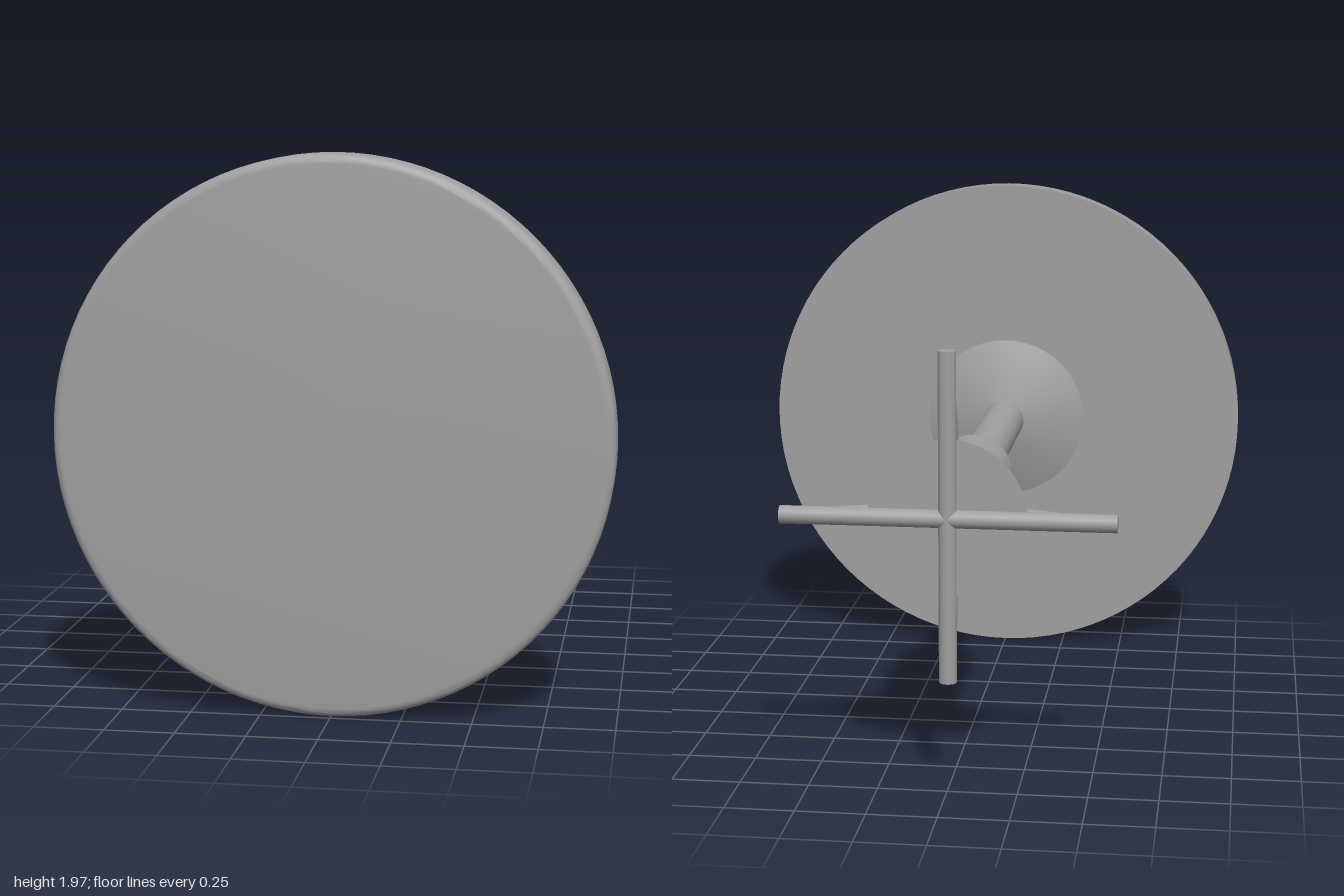
import * as THREE from 'three';
import { toCreasedNormals } from 'three/addons/utils/BufferGeometryUtils.js';

const material = new THREE.MeshStandardMaterial({ color: 0xa0a0a0 });

function part(name, geometry) {
  const mesh = new THREE.Mesh(geometry, material);
  mesh.name = name;
  return mesh;
}

// Turned part along z from [radius, z] pairs, listed back to front
function turned(name, profile, segments = 64) {
  const points = profile.map(([r, z]) => new THREE.Vector2(r, z));
  const geometry = new THREE.LatheGeometry(points, segments).rotateX(Math.PI / 2);
  return part(name, toCreasedNormals(geometry, 0.6));
}

// Round rod between two points
function rod(name, from, to, radius) {
  const dir = to.clone().sub(from);
  const mesh = part(name, new THREE.CylinderGeometry(radius, radius, dir.length(), 24));
  mesh.position.copy(from).addScaledVector(dir, 0.5);
  mesh.quaternion.setFromUnitVectors(new THREE.Vector3(0, 1, 0), dir.normalize());
  return mesh;
}

// Quarter-round profile points from the rim side to the face
function rounding(r, z, radial, axial, steps = 6) {
  return Array.from({ length: steps + 1 }, (_, i) => {
    const a = (i / steps) * Math.PI / 2;
    return [r - radial + radial * Math.cos(a), z - axial + axial * Math.sin(a)];
  });
}

export function createModel() {
  const model = new THREE.Group();
  const body = new THREE.Group();
  body.name = 'pedestal';
  body.position.y = 0.987;
  model.add(body);

  // Round top with a softened front rim
  body.add(turned('roundTop', [[0, 0.865], [0.987, 0.865], ...rounding(0.987, 1, 0.035, 0.03), [0, 1]], 96));

  // Shallow domed collar under the top
  body.add(turned('topCollar', [[0.08, 0.798], [0.14, 0.811], [0.2, 0.826], [0.27, 0.845], [0.335, 0.866]]));

  // Slim inner column
  body.add(turned('column', [[0.083, -0.2], [0.083, 0.82]], 48));

  // Thick sleeve with a rounded shoulder
  body.add(turned('sleeve', [[0.154, -0.885], ...rounding(0.154, -0.153, 0.06, 0.14, 8), [0.07, -0.153]]));

  // Flared foot closed by a flat plate
  body.add(turned('flaredFoot', [[0, -0.963], [0.281, -0.963], [0.154, -0.878]]));

  // Four spokes, each with a slanted brace
  for (let i = 0; i < 4; i++) {
    const leg = new THREE.Group();
    leg.name = 'leg' + (i + 1);
    leg.rotation.z = i * Math.PI / 2;
    leg.add(rod('spoke', new THREE.Vector3(0, 0, -0.968), new THREE.Vector3(0.591, 0, -0.968), 0.032));
    leg.add(rod('brace', new THREE.Vector3(0.1, 0, -0.855), new THREE.Vector3(0.41, 0, -0.968), 0.032));
    body.add(leg);
  }
  return model;
}
